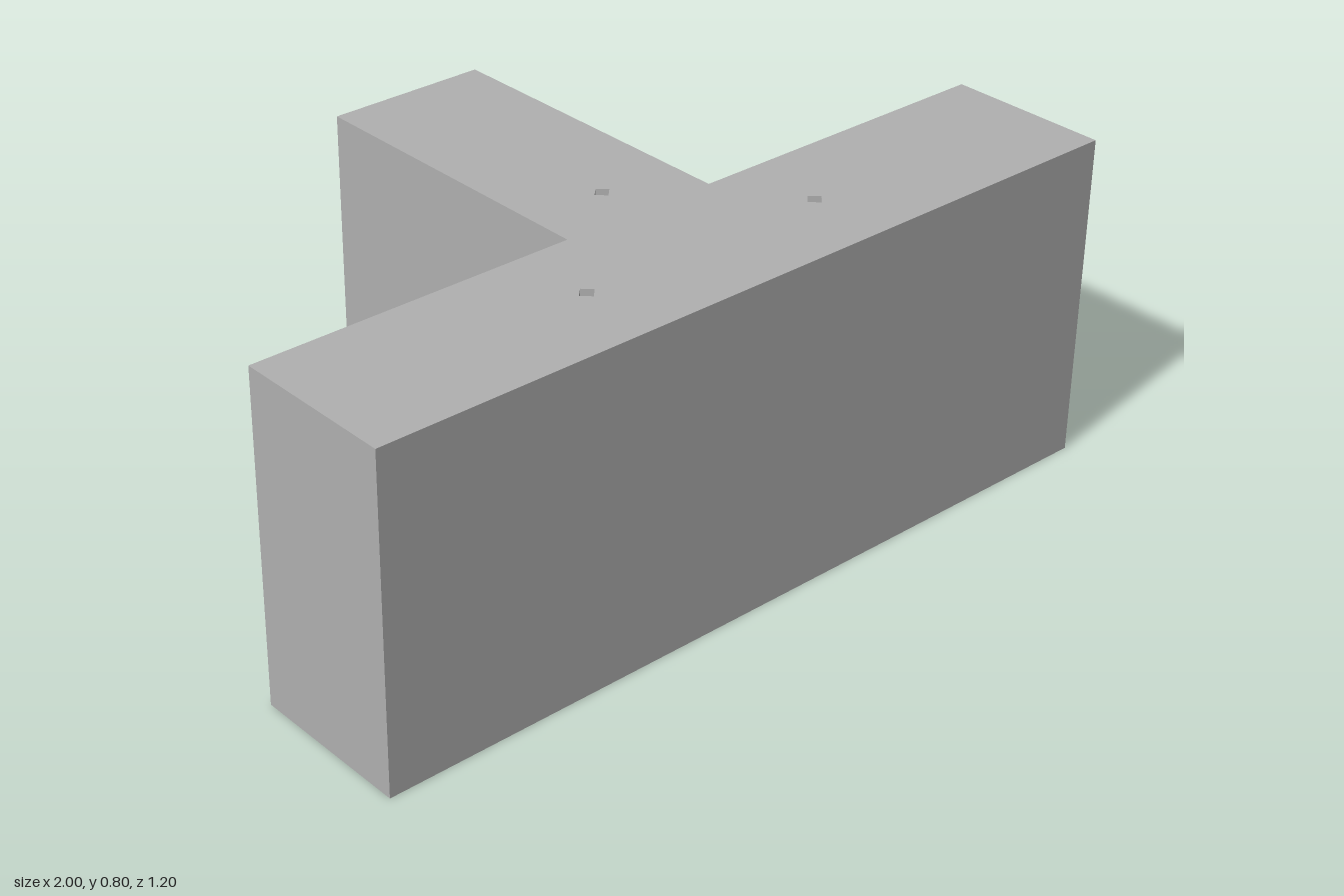
import * as THREE from 'three';

const HEIGHT = 0.8, FLOOR = 0.16, CEILING = 0.643, BORE = 0.021;

// Plan points are [x, z]; walls face right of the walking direction.
const OUTLINE = [[-1, 0.6], [1, 0.6], [1, 0.2], [0.2, 0.2], [0.2, -0.6], [-0.2, -0.6], [-0.2, 0.2], [-1, 0.2]];

// Each pocket is cut into one outline edge, with a small bore up to the top face.
const POCKETS = [
  { name: 'leftPocket', edge: 2, path: [[0.76, 0.2], [0.76, 0.48], [0.24, 0.48], [0.24, 0.2]], bore: [0.32, 0.4] },
  { name: 'stemPocket', edge: 3, path: [[0.2, 0.16], [-0.08, 0.16], [-0.08, -0.36], [0.2, -0.36]], bore: [0, 0.08] },
  { name: 'rightPocket', edge: 6, path: [[-0.24, 0.2], [-0.24, 0.48], [-0.76, 0.48], [-0.76, 0.2]], bore: [-0.32, 0.4] },
];

const diamond = ([x, z]) => [[x, z - BORE], [x + BORE, z], [x, z + BORE], [x - BORE, z]];

export function createModel() {
  const grey = new THREE.MeshStandardMaterial({ color: 0xb0b0b0 });
  const model = new THREE.Group();
  model.name = 'teeBlock';

  const makeShape = (points, holes = []) => {
    const toVectors = (list) => list.map(([a, b]) => new THREE.Vector2(a, b));
    const shape = new THREE.Shape(toVectors(points));
    holes.forEach((hole) => shape.holes.push(new THREE.Path(toVectors(hole))));
    return shape;
  };

  const add = (parent, name, geometry) => {
    const mesh = new THREE.Mesh(geometry, grey);
    mesh.name = name;
    parent.add(mesh);
  };

  // Horizontal face looking up (dir = 1) or down (dir = -1)
  const slab = (parent, name, points, y, dir, holes = []) => {
    const flip = (list) => list.map(([x, z]) => [x, -dir * z]);
    const geometry = new THREE.ShapeGeometry(makeShape(flip(points), holes.map(flip)));
    add(parent, name, geometry.rotateX(-dir * Math.PI / 2).translate(0, y, 0));
  };

  // Upright face from a to b, with an optional opening given as [start, end] points
  const wall = (parent, name, a, b, y0, y1, opening) => {
    const length = Math.hypot(b[0] - a[0], b[1] - a[1]);
    const rect = (u0, u1, v0, v1) => [[u0, v0], [u1, v0], [u1, v1], [u0, v1]];
    const along = (p) => Math.hypot(p[0] - a[0], p[1] - a[1]);
    const holes = opening ? [rect(along(opening[0]), along(opening[1]), FLOOR, CEILING)] : [];
    const geometry = new THREE.ShapeGeometry(makeShape(rect(0, length, y0, y1), holes));
    geometry.rotateY(Math.atan2(a[1] - b[1], b[0] - a[0])).translate(a[0], 0, a[1]);
    add(parent, name, geometry);
  };

  // Outer shell
  slab(model, 'topFace', OUTLINE, HEIGHT, 1, POCKETS.map((p) => diamond(p.bore)));
  slab(model, 'bottomFace', OUTLINE, 0, -1);
  OUTLINE.forEach((a, i) => {
    const pocket = POCKETS.find((p) => p.edge === i);
    const opening = pocket && [pocket.path[0], pocket.path[3]];
    wall(model, 'outerWall', a, OUTLINE[(i + 1) % OUTLINE.length], 0, HEIGHT, opening);
  });

  // Pocket interiors and their bores
  for (const { name, path, bore } of POCKETS) {
    const group = new THREE.Group();
    group.name = name;
    const ring = diamond(bore);
    slab(group, 'pocketFloor', path, FLOOR, 1);
    slab(group, 'pocketCeiling', path, CEILING, -1, [ring]);
    for (let i = 0; i < 3; i++) wall(group, 'pocketWall', path[i], path[i + 1], FLOOR, CEILING);
    ring.forEach((a, i) => wall(group, 'boreWall', a, ring[(i + 1) % 4], CEILING, HEIGHT));
    model.add(group);
  }
  return model;
}
